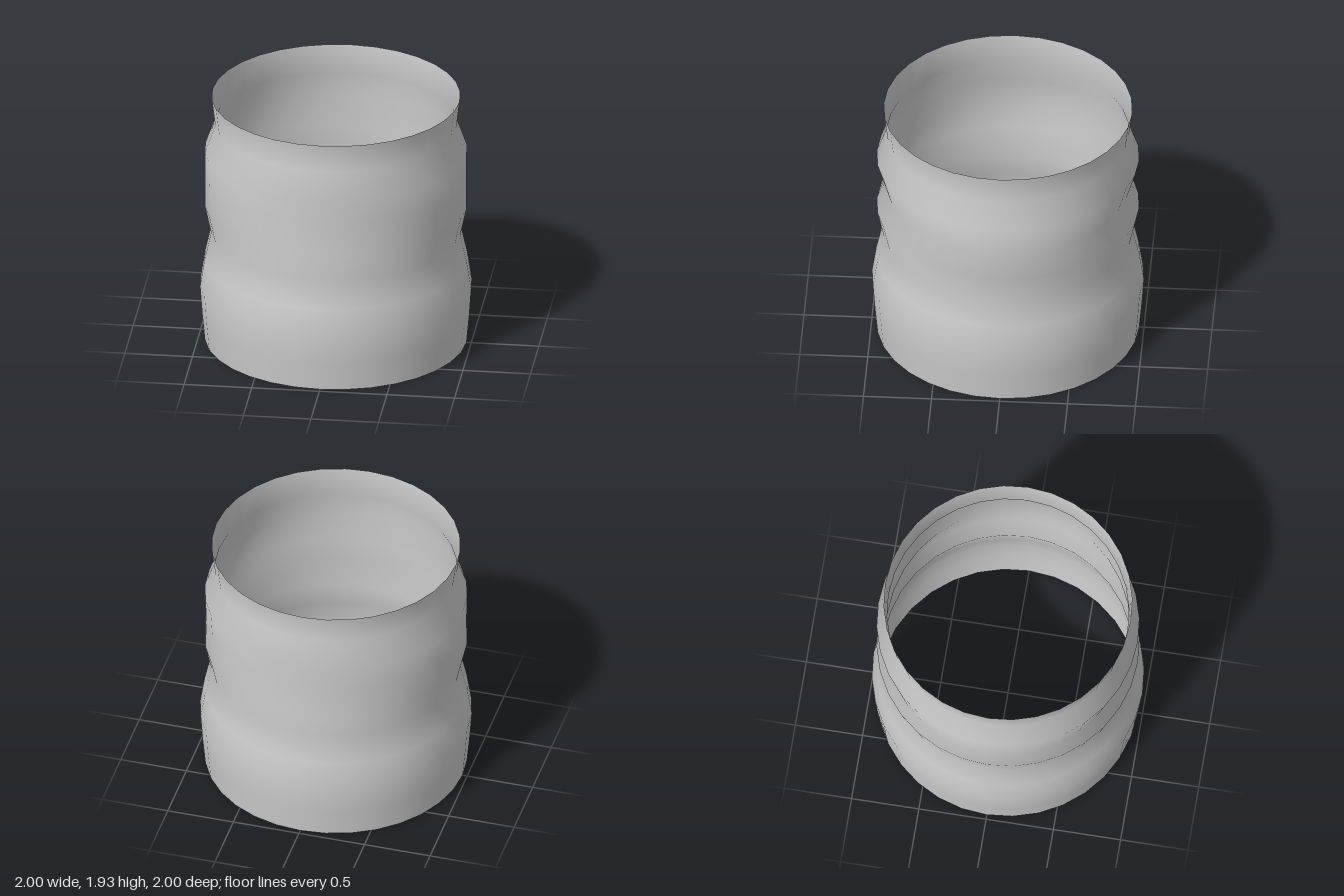
import * as THREE from 'three';
import { mergeVertices } from 'three/addons/utils/BufferGeometryUtils.js';

// Ring radii from bottom to top, evenly spaced in height
const RADII = [0.965, 0.985, 1.0, 0.967, 0.918, 0.965, 0.965, 0.965, 0.888, 0.914];
const HEIGHT = 1.935;
const PINCHED_RING = 6;
const PINCH_DEPTH = 0.898 / 0.965;

export function createModel() {
  const group = new THREE.Group();
  const step = HEIGHT / (RADII.length - 1);
  const profile = RADII.map((r, i) => new THREE.Vector2(r, i * step));
  let geometry = new THREE.LatheGeometry(profile, 32);

  // One ring is pinched front to back, so it becomes an ellipse
  const pos = geometry.attributes.position;
  for (let i = 0; i < pos.count; i++) {
    if (Math.round(pos.getY(i) / step) === PINCHED_RING) pos.setZ(i, pos.getZ(i) * PINCH_DEPTH);
  }

  // Weld the seam so the shading stays smooth all round
  geometry.deleteAttribute('uv');
  geometry.deleteAttribute('normal');
  geometry = mergeVertices(geometry, 1e-4);
  geometry.computeVertexNormals();

  // Open sleeve, without caps
  const sleeve = new THREE.Mesh(
    geometry,
    new THREE.MeshStandardMaterial({ color: 0xcccccc, side: THREE.DoubleSide })
  );
  sleeve.name = 'sleeve';
  group.add(sleeve);
  return group;
}
